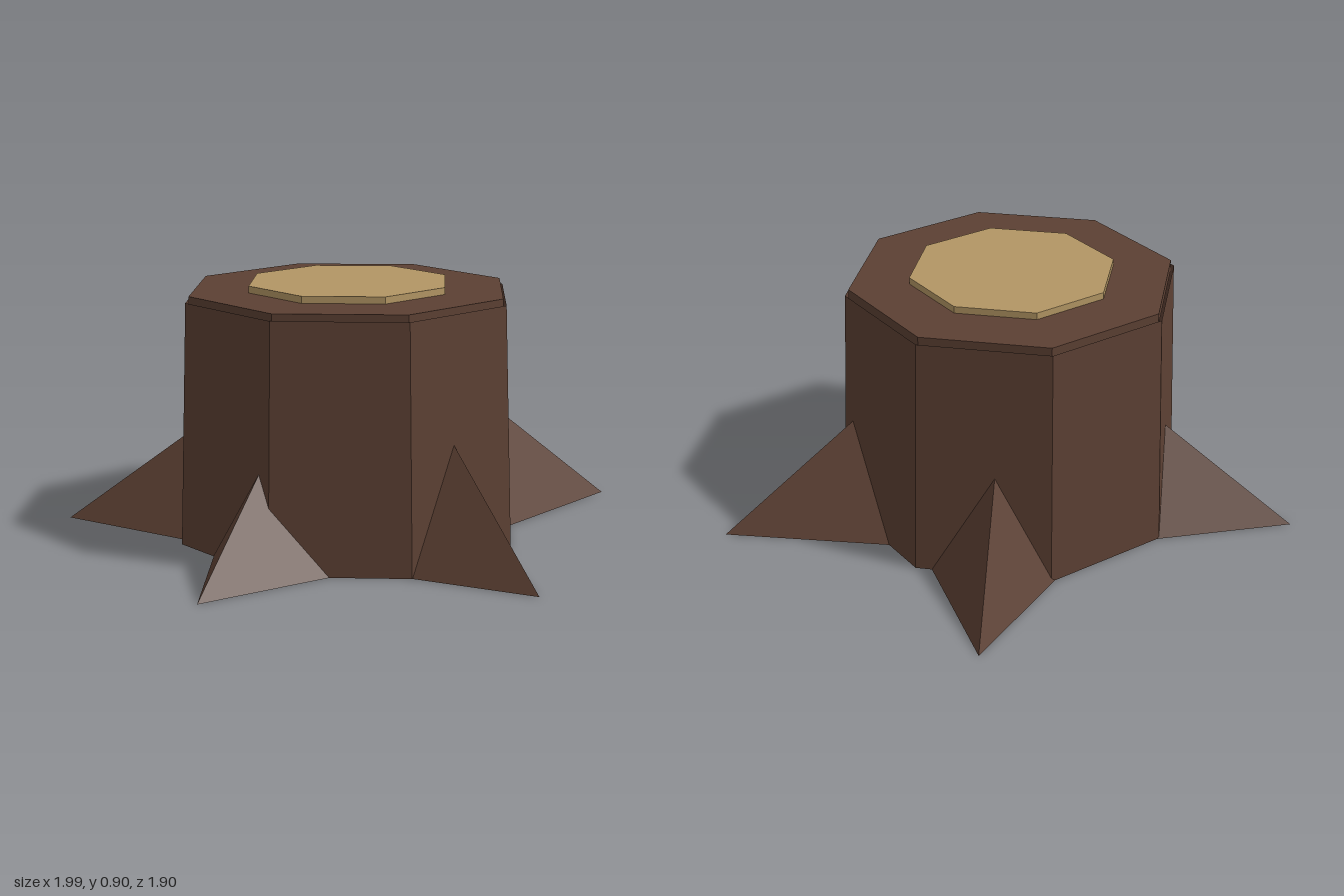
import * as THREE from 'three';

const CX = -0.073, CZ = 0.022; // trunk axis

export function createModel() {
  const model = new THREE.Group();
  model.name = 'treeStump';
  const bark = new THREE.MeshStandardMaterial({ name: 'barkBrown', color: 0x5c4033, flatShading: true, side: THREE.DoubleSide });
  const wood = new THREE.MeshStandardMaterial({ name: 'cutWood', color: 0xb39664, flatShading: true });

  // Eight-sided solids sharing the trunk axis
  const octagon = (name, rTop, rBottom, y0, y1, material, open = false) => {
    const mesh = new THREE.Mesh(new THREE.CylinderGeometry(rTop, rBottom, y1 - y0, 8, 1, open), material);
    mesh.name = name;
    mesh.position.set(CX, (y0 + y1) / 2, CZ);
    model.add(mesh);
  };
  octagon('trunk', 0.588, 0.62, 0, 0.852, bark, true);
  octagon('trunkTop', 0.576, 0.576, 0.83, 0.874, bark);
  octagon('heartwood', 0.364, 0.364, 0.85, 0.898, wood);

  // Roots: four-cornered wedges pointing along +x before turning
  const rootGeometry = (reach, height) => {
    const tip = [reach, 0, 0], apex = [0.52, height, 0];
    const left = [0.47, 0, -0.26], right = [0.47, 0, 0.26];
    const faces = [tip, apex, right, tip, left, apex, tip, right, left, apex, left, right];
    const geometry = new THREE.BufferGeometry();
    geometry.setAttribute('position', new THREE.Float32BufferAttribute(faces.flat(), 3));
    geometry.computeVertexNormals();
    return geometry;
  };
  // angle in degrees, reach, height
  const roots = [
    [4.7, 1.067, 0.44],
    [71.4, 1.027, 0.415],
    [154, 1.031, 0.38],
    [220.3, 0.953, 0.4],
    [289, 0.975, 0.455],
  ];
  roots.forEach(([angle, reach, height], i) => {
    const root = new THREE.Mesh(rootGeometry(reach, height), bark);
    root.name = `root${i + 1}`;
    root.position.set(CX, 0, CZ);
    root.rotation.y = THREE.MathUtils.degToRad(angle);
    model.add(root);
  });
  return model;
}
